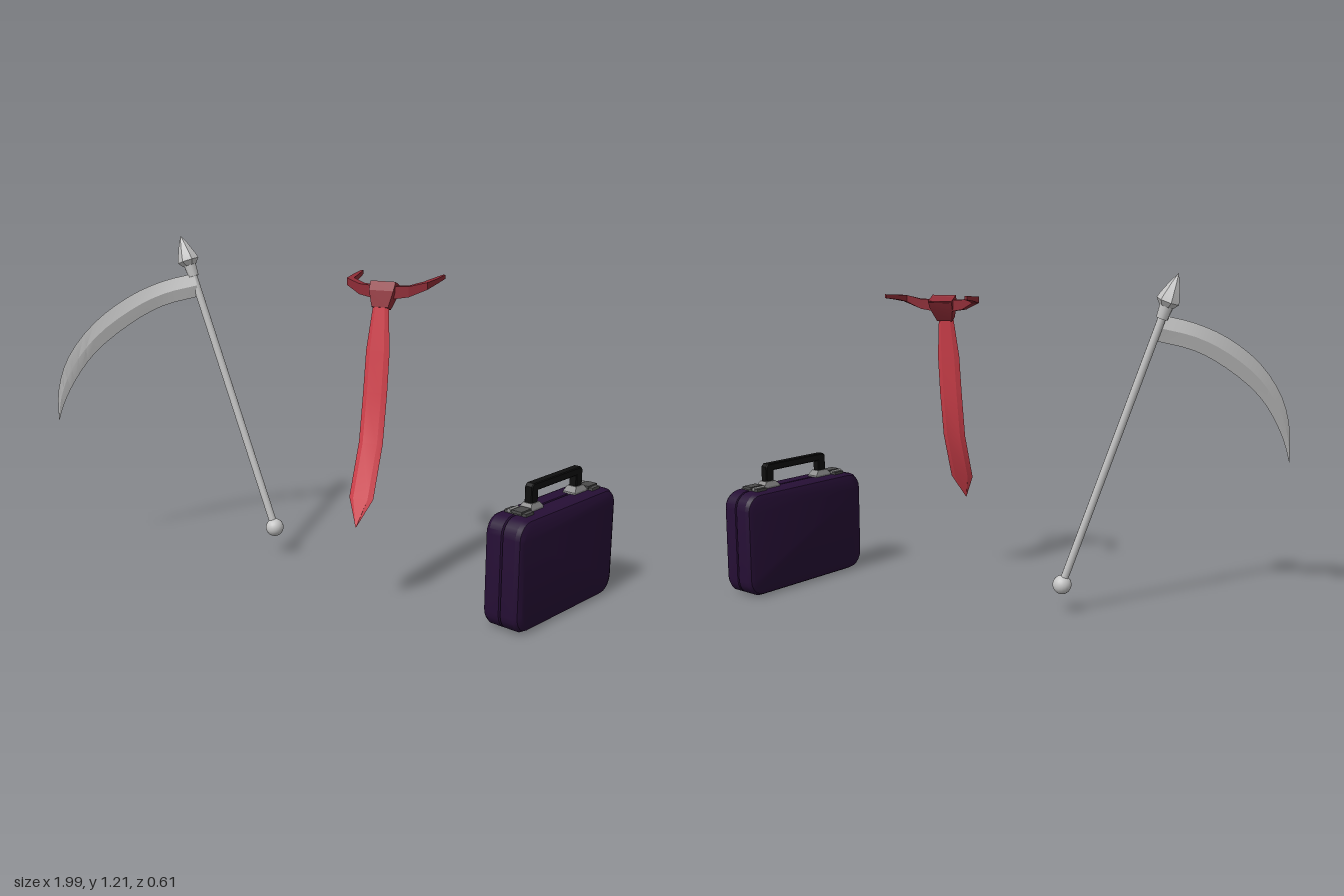
import * as THREE from 'three';
import { toCreasedNormals } from 'three/addons/utils/BufferGeometryUtils.js';

const mat = (name, color) => Object.assign(new THREE.MeshStandardMaterial({ color }), { name });
const V = (x, y, z) => new THREE.Vector3(x, y, z);

// Skin a row of equal-length convex rings, close both ends, face outwards
function loft(rings, crease = 0.5) {
  const tris = [], n = rings[0].length;
  for (let i = 0; i < rings.length - 1; i++) {
    for (let j = 0; j < n; j++) {
      const k = (j + 1) % n, a = rings[i], b = rings[i + 1];
      tris.push([a[j], a[k], b[k]], [a[j], b[k], b[j]]);
    }
  }
  const first = rings[0], last = rings[rings.length - 1];
  for (let j = 1; j < n - 1; j++) {
    tris.push([first[0], first[j + 1], first[j]], [last[0], last[j], last[j + 1]]);
  }
  let volume = 0;
  for (const [a, b, c] of tris) volume += a.dot(b.clone().cross(c));
  const pts = tris.flatMap(([a, b, c]) => (volume < 0 ? [a, c, b] : [a, b, c]));
  return toCreasedNormals(new THREE.BufferGeometry().setFromPoints(pts), crease);
}

function add(parent, name, geometry, material, x = 0, y = 0, z = 0) {
  const mesh = new THREE.Mesh(geometry, material);
  mesh.name = name;
  mesh.position.set(x, y, z);
  parent.add(mesh);
  return mesh;
}

function group(parent, name) {
  const g = new THREE.Group();
  g.name = name;
  parent.add(g);
  return g;
}

function buildScythe(root, steel) {
  const scythe = group(root, 'scythe');
  const staff = group(scythe, 'staff');
  staff.position.set(-0.265, 0.108, -0.08);
  staff.rotation.z = 0.34;
  add(staff, 'pommel', new THREE.SphereGeometry(0.034, 20, 14), steel);
  add(staff, 'shaft', new THREE.CylinderGeometry(0.014, 0.014, 1.02, 12), steel, 0, 0.51, 0);
  add(staff, 'collar', new THREE.CylinderGeometry(0.024, 0.02, 0.05, 10), steel, 0, 1.035, 0);
  const profile = [[0, 1.052], [0.026, 1.054], [0.041, 1.072], [0.036, 1.09], [0.018, 1.135], [0, 1.17]];
  add(staff, 'spearhead', toCreasedNormals(
    new THREE.LatheGeometry(profile.map(p => new THREE.Vector2(...p)), 7), 0.6), steel);

  // Curved blade: diamond section between an outer and an inner edge, sweeping forward
  const edge = pts => new THREE.CatmullRomCurve3(pts.map(([x, y]) => {
    const t = (-0.6 - x) / 0.4;
    return V(x, y, -0.07 + 0.335 * (0.55 * t + 0.45 * t * t));
  }));
  const outer = edge([[-0.595, 1.072], [-0.7, 1.043], [-0.8, 0.99], [-0.9, 0.895], [-0.97, 0.77], [-0.997, 0.65], [-1, 0.535]]);
  const inner = edge([[-0.58, 0.985], [-0.7, 0.95], [-0.8, 0.885], [-0.9, 0.782], [-0.955, 0.68], [-0.985, 0.595], [-0.999, 0.533]]);
  const rings = [];
  for (let i = 0; i <= 18; i++) {
    const t = i / 18, a = outer.getPoint(t), b = inner.getPoint(t);
    const mid = a.clone().lerp(b, 0.5), out = V(0.64, 0, 0.77).multiplyScalar(0.013 * (1 - t * 0.95));
    rings.push([a, mid.clone().add(out), b, mid.clone().sub(out)]);
  }
  add(scythe, 'blade', loft(rings, 0.3), steel);
}

function buildTie(root, red, darkRed) {
  const tie = group(root, 'necktie');
  tie.position.x = 0.25;

  // Hanging blade: y, z, half width, half thickness
  const rows = [
    [1.035, 0.112, 0.028, 0.008], [0.88, 0.135, 0.043, 0.009], [0.74, 0.155, 0.044, 0.009],
    [0.57, 0.188, 0.044, 0.009], [0.395, 0.266, 0.044, 0.008], [0.305, 0.309, 0.001, 0.002],
  ];
  add(tie, 'tieBlade', loft(rows.map(([y, z, w, d]) => [
    V(-w, y, z), V(-w * 0.6, y, z + d), V(w * 0.6, y, z + d),
    V(w, y, z), V(w * 0.6, y, z - d), V(-w * 0.6, y, z - d),
  ]), 0.3), red);

  // Knot tapering down to the blade
  const knot = [[1.095, 0.07, 0.038, 0.024], [1.1, 0.076, 0.046, 0.026], [1.07, 0.092, 0.044, 0.026], [1.02, 0.112, 0.03, 0.014]];
  add(tie, 'knot', loft(knot.map(([y, z, w, d]) => [
    V(-w, y - d * 0.4, z - d), V(-w, y + d * 0.4, z + d * 0.8),
    V(w, y + d * 0.4, z + d * 0.8), V(w, y - d * 0.4, z - d),
  ]), 0.2), darkRed);

  // Neck straps: centre x, y, z, half height, half thickness along dx, dz
  const strap = [
    [0.025, 1.072, 0.088, 0.022, 0.004, 0.012], [0.085, 1.078, 0.078, 0.018, 0.005, 0.012],
    [0.138, 1.098, 0.057, 0.012, 0.01, 0.008], [0.145, 1.105, 0, 0.009, 0.01, 0.002],
    [0.154, 1.113, -0.08, 0.007, 0.004, 0.001],
  ];
  for (const s of [1, -1]) {
    add(tie, s > 0 ? 'leftStrap' : 'rightStrap', loft(strap.map(([x, y, z, h, dx, dz]) => [
      V(s * (x + dx), y + h, z + dz), V(s * (x - dx), y + h, z - dz),
      V(s * (x - dx), y - h, z - dz), V(s * (x + dx), y - h, z + dz),
    ]), 0.2), darkRed);
  }
}

function buildCase(root, leather, black, metal, darkMetal) {
  const box = group(root, 'briefcase');
  box.position.set(0.837, 0, -0.012);
  box.rotation.y = -0.325;

  // Rounded rectangle in the y-z plane at a given x, shrunk by an inset
  const outline = (x, inset) => {
    const r = 0.06 - inset * 0.5, hz = 0.29 - inset - r, hy = 0.195 - inset - r, pts = [];
    for (let c = 0; c < 4; c++) {
      const sz = c === 0 || c === 3 ? 1 : -1, sy = c < 2 ? 1 : -1;
      for (let k = 0; k <= 5; k++) {
        const a = (c + k / 5) * Math.PI / 2;
        pts.push(V(x, 0.195 + sy * hy + r * Math.sin(a), sz * hz + r * Math.cos(a)));
      }
    }
    return pts;
  };
  // Two shells meeting at a narrow groove
  const shell = [[-0.073, 0.022], [-0.066, 0.007], [-0.052, 0], [-0.004, 0], [0, 0.006], [0.004, 0], [0.052, 0], [0.066, 0.007], [0.073, 0.022]];
  add(box, 'caseBody', loft(shell.map(p => outline(...p)), 0.5), leather);

  // Handle: squared bar with two legs
  const arch = new THREE.Shape();
  [[-0.151, 0.405], [-0.151, 0.47], [-0.141, 0.48], [0.141, 0.48], [0.151, 0.47], [0.151, 0.405],
    [0.114, 0.405], [0.114, 0.453], [-0.114, 0.453], [-0.114, 0.405]]
    .forEach(([x, y], i) => (i ? arch.lineTo(x, y) : arch.moveTo(x, y)));
  const bar = new THREE.ExtrudeGeometry(arch, { depth: 0.024, bevelSize: 0.003, bevelOffset: -0.003, bevelThickness: 0.003, bevelSegments: 1 });
  bar.translate(0, 0, -0.012).rotateY(Math.PI / 2);
  add(box, 'handle', bar, black);

  for (const s of [1, -1]) {
    // Tapered handle mount
    const mount = [[0.386, 0.024, 0.038], [0.396, 0.024, 0.038], [0.414, 0.018, 0.022]];
    add(box, 'handleMount', loft(mount.map(([y, w, l]) => [
      V(-w, y, -l), V(-w, y, l), V(w, y, l), V(w, y, -l),
    ]), 0.2), metal, 0, 0, s * 0.132);
    // Latch: plate, clasp and hinge pin
    add(box, 'latchPlate', new THREE.BoxGeometry(0.085, 0.012, 0.045), darkMetal, 0, 0.394, s * 0.198);
    add(box, 'latchClasp', new THREE.BoxGeometry(0.04, 0.01, 0.056), darkMetal, 0.008, 0.4, s * 0.198);
    const pin = add(box, 'latchPin', new THREE.CylinderGeometry(0.006, 0.006, 0.05, 8), metal, -0.024, 0.4, s * 0.198);
    pin.rotation.x = Math.PI / 2;
  }
}

export function createModel() {
  const root = new THREE.Group();
  root.name = 'accessorySet';
  buildScythe(root, mat('steel', 0xc6c6c6));
  buildTie(root, mat('red', 0xd0404b), mat('darkRed', 0x8e2c36));
  buildCase(root, mat('purpleLeather', 0x260f35), mat('black', 0x0e0e0e),
    mat('metal', 0x8c8c8c), mat('darkMetal', 0x4a4a4a));
  return root;
}
